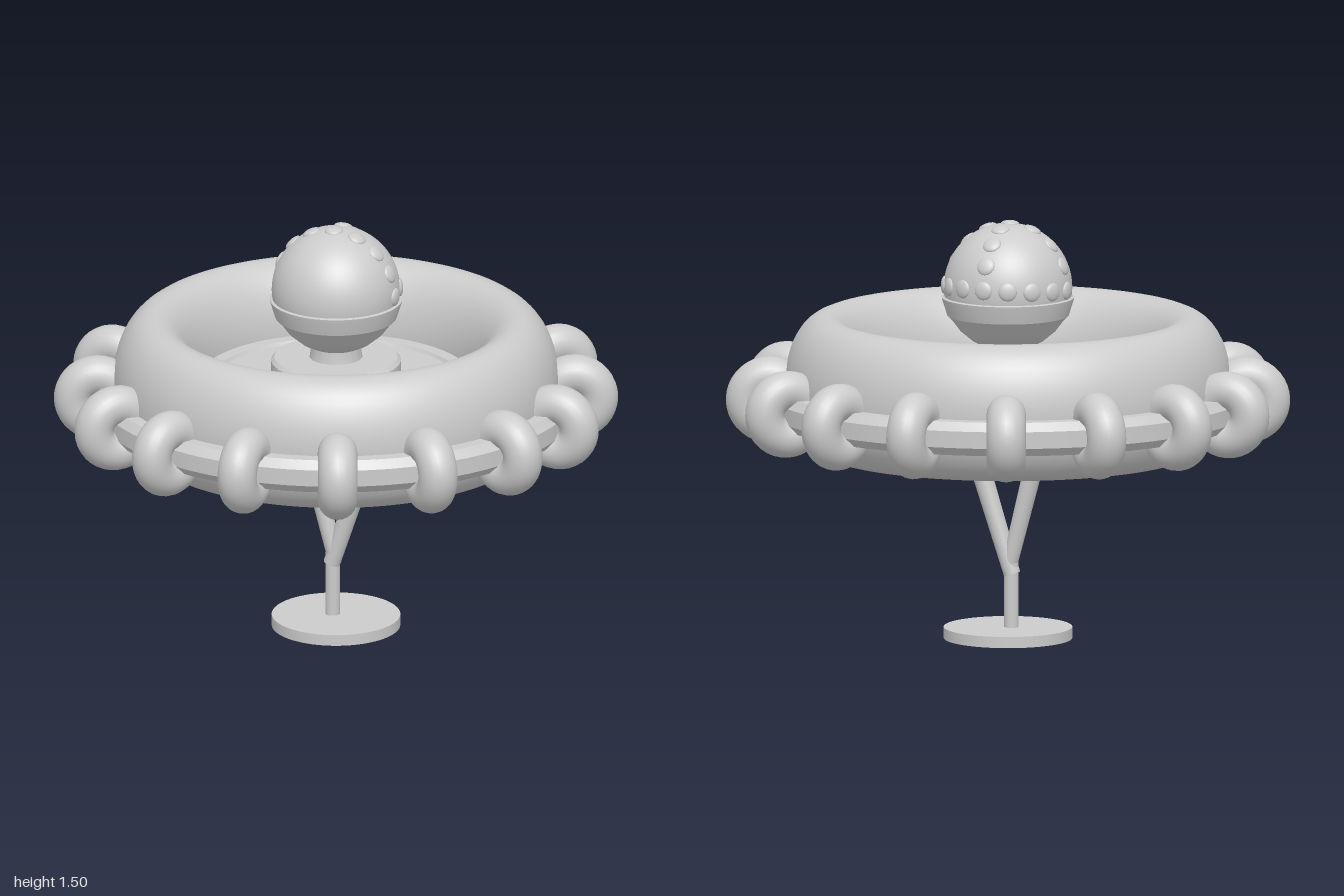
import * as THREE from 'three';
import { toCreasedNormals } from 'three/addons/utils/BufferGeometryUtils.js';

export function createModel() {
  const model = new THREE.Group();
  const material = new THREE.MeshStandardMaterial({ color: 0xcccccc });

  function add(name, geometry, parent = model) {
    const mesh = new THREE.Mesh(geometry, material);
    mesh.name = name;
    parent.add(mesh);
    return mesh;
  }
  // Revolved profile, listed from the bottom up as [radius, height]
  function lathe(name, profile, crease = 0.5) {
    const points = profile.map(([r, y]) => new THREE.Vector2(r, y));
    return add(name, toCreasedNormals(new THREE.LatheGeometry(points, 72), crease));
  }
  // Round bar between two points
  function bar(name, from, to, rFrom, rTo) {
    const a = new THREE.Vector3(...from), b = new THREE.Vector3(...to);
    const dir = b.clone().sub(a);
    const mesh = add(name, new THREE.CylinderGeometry(rTo, rFrom, dir.length(), 24));
    mesh.position.copy(a).add(b).multiplyScalar(0.5);
    mesh.quaternion.setFromUnitVectors(new THREE.Vector3(0, 1, 0), dir.normalize());
    return mesh;
  }

  // Foot, stem and the forked legs
  lathe('foot', [[0, 0], [0.228, 0], [0.228, 0.04], [0, 0.04]]);
  bar('stem', [-0.013, 0.03, 0], [-0.013, 0.27, 0], 0.026, 0.026);
  bar('rightLeg', [-0.005, 0.26, 0], [-0.135, 0.76, 0], 0.028, 0.036);
  bar('leftLeg', [-0.016, 0.23, 0], [0.158, 0.76, 0], 0.03, 0.038);

  // Tall oval ring body
  const ring = new THREE.TorusGeometry(0.645, 0.145, 40, 96);
  ring.rotateX(Math.PI / 2);
  ring.scale(1, 0.245 / 0.145, 1);
  ring.translate(0, 0.915, 0);
  add('ringBody', ring);

  // Floor drum inside the ring, with a shallow raised edge
  lathe('floor', [[0, 0.735], [0.495, 0.735], [0.5, 0.9], [0.49, 0.92], [0.445, 0.92], [0.438, 0.908], [0, 0.908]]);

  // Rail around the outside
  lathe('rail', [[0.75, 0.79], [0.835, 0.79], [0.86, 0.82], [0.86, 0.88], [0.835, 0.91], [0.75, 0.91]]);

  // Loops threaded on the rail
  const loops = new THREE.Group();
  loops.name = 'loops';
  model.add(loops);
  const loopGeometry = new THREE.TorusGeometry(0.085, 0.07, 24, 36);
  loopGeometry.translate(0.845, 0.855, 0);
  for (let i = 0; i < 16; i++) {
    add('loop', loopGeometry, loops).rotation.y = (i * Math.PI) / 8;
  }

  // Pedestal, neck and cup under the dome
  lathe('pedestal', [[0, 0.9], [0.23, 0.9], [0.23, 0.995], [0.218, 1.008], [0, 1.008]]);
  lathe('neck', [[0.095, 1.0], [0.09, 1.03], [0.09, 1.08]]);
  lathe('cup', [[0, 1.035], [0.07, 1.043], [0.125, 1.068], [0.17, 1.105], [0.2, 1.145],
    [0.216, 1.16], [0.233, 1.215], [0.235, 1.225], [0.22, 1.23]]);

  // Dome
  const dome = add('dome', new THREE.SphereGeometry(0.228, 48, 32));
  dome.position.y = 1.26;

  // Studs: an arch side to side, one line down the back, and a row around the back half
  const studs = new THREE.Group();
  studs.name = 'studs';
  studs.position.y = 1.26;
  studs.rotation.x = 0.085;
  model.add(studs);
  const studGeometry = new THREE.SphereGeometry(0.033, 20, 12);
  studGeometry.scale(1, 0.4, 1);
  function stud(tilt, turn) {
    const dir = new THREE.Vector3(Math.sin(tilt) * Math.cos(turn), Math.cos(tilt), -Math.sin(tilt) * Math.sin(turn));
    const mesh = add('stud', studGeometry, studs);
    mesh.position.copy(dir).multiplyScalar(0.225);
    mesh.quaternion.setFromUnitVectors(new THREE.Vector3(0, 1, 0), dir);
  }
  const step = Math.PI / 8;
  for (let i = -3; i <= 3; i++) stud(i * step, 0);
  for (let i = 1; i <= 3; i++) stud(i * step, Math.PI / 2);
  for (let i = 0; i <= 8; i++) stud(Math.PI / 2, i * step);

  return model;
}
